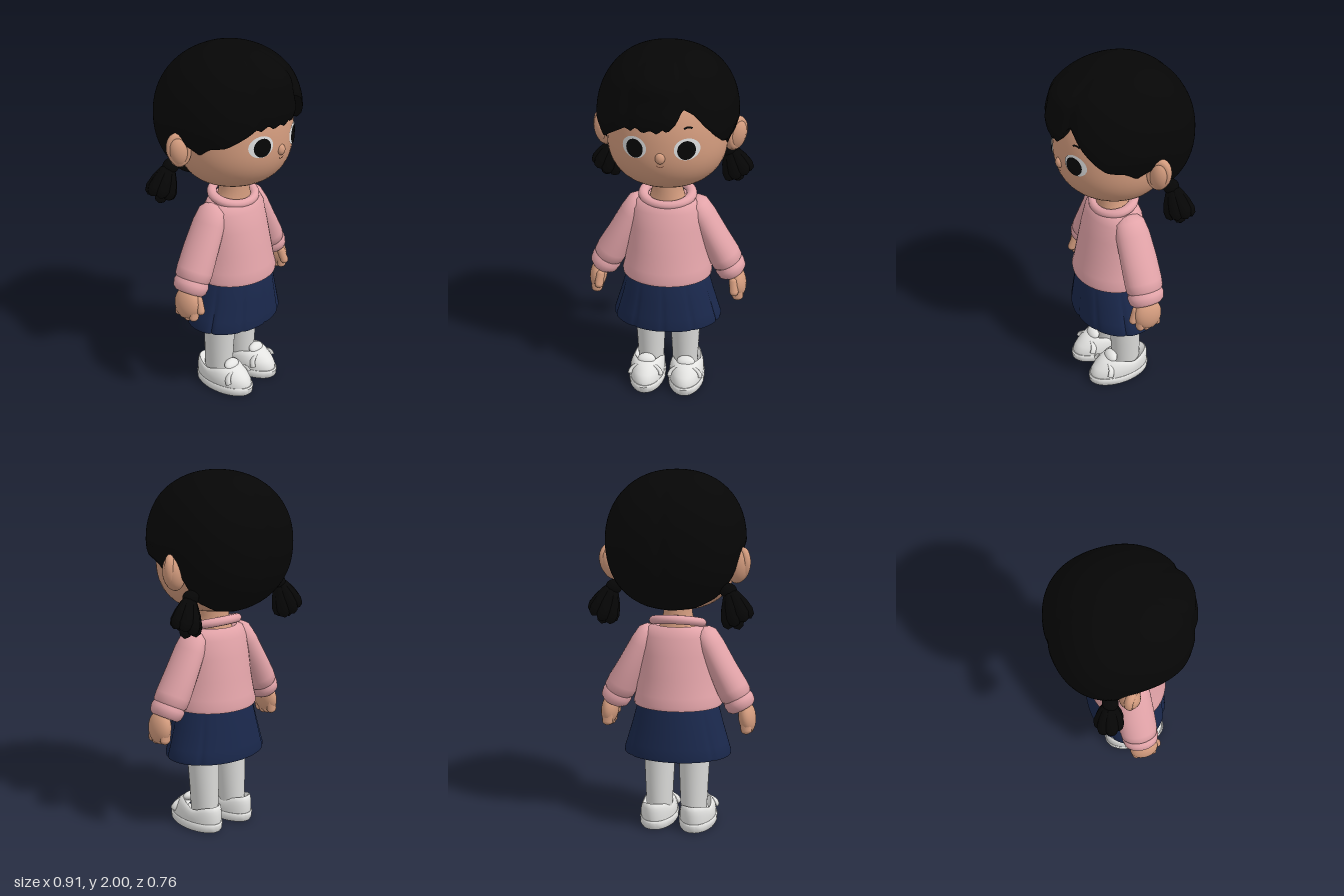
import * as THREE from 'three';
import { toCreasedNormals } from 'three/addons/utils/BufferGeometryUtils.js';

const mat = (name, color, side = THREE.FrontSide) => {
  const m = new THREE.MeshStandardMaterial({ color, side });
  m.name = name;
  return m;
};
const D = THREE.DoubleSide;
const SKIN = mat('skin', 0xd49c7e), HAIR = mat('black hair', 0x060606, D), PINK = mat('pink knit', 0xe3a4a9);
const NAVY = mat('navy cloth', 0x1a284c, D), SOCK = mat('sock white', 0xdadad8), SHOE = mat('shoe white', 0xe4e4e2);
const WHITE = mat('eye white', 0xe0e0e0, D), BLACK = mat('eye black', 0x060606, D), LINE = mat('brown line', 0x6b4030, D);

// Closed surface: u runs round the y axis from the front, v runs from top to bottom
function surface(fn, nu, nv) {
  const pos = [], idx = [];
  for (let j = 0; j <= nv; j++) for (let i = 0; i < nu; i++) pos.push(...fn(i / nu * Math.PI * 2, j / nv));
  for (let j = 0; j < nv; j++) for (let i = 0; i < nu; i++) {
    const k = (i + 1) % nu, a = j * nu + i, b = j * nu + k, c = a + nu, d = b + nu;
    idx.push(a, c, d, a, d, b);
  }
  const g = new THREE.BufferGeometry();
  g.setAttribute('position', new THREE.Float32BufferAttribute(pos, 3));
  g.setIndex(idx);
  g.computeVertexNormals();
  return g;
}

// Rings from top to bottom: [y, half width, front z, back z]
function loft(rings, nu = 28, shape = () => 1, crease = 0.8) {
  const g = surface((t, v) => {
    const [y, rx, zf, zb] = rings[Math.round(v * (rings.length - 1))];
    const k = shape(t, y);
    return [rx * k * Math.sin(t), y, (zf + zb) / 2 + (zf - zb) / 2 * k * Math.cos(t)];
  }, nu, rings.length - 1);
  return toCreasedNormals(g, crease);
}

function add(parent, name, geo, material, p = [0, 0, 0], s = [1, 1, 1], r = [0, 0, 0]) {
  const m = new THREE.Mesh(geo, material);
  m.name = name;
  m.position.set(...p);
  m.scale.set(...s);
  m.rotation.set(...r);
  parent.add(m);
  return m;
}

const ball = new THREE.SphereGeometry(1, 24, 16);
const clamp01 = x => Math.max(0, Math.min(1, x));

// Face surface, shared by the head and the plates laid on it
const headR = y => {
  const n = Math.min(1, Math.abs((y - 1.53) / (y > 1.53 ? 0.38 : 0.285)));
  return Math.pow(1 - Math.pow(n, 2.4), 1 / 2.4);
};
const faceZ = (x, y) => 0.02 + 0.32 * Math.sqrt(Math.max(0, headR(y) ** 2 - (x / 0.322) ** 2));

function facePlate(parent, name, geo, material, cx, cy, sx, sy, lift) {
  const p = geo.attributes.position;
  for (let i = 0; i < p.count; i++) {
    const x = cx + p.getX(i) * sx, y = cy + p.getY(i) * sy;
    p.setXYZ(i, x, y, faceZ(x, y) + lift);
  }
  geo.computeVertexNormals();
  add(parent, name, geo, material);
}

// Lower edge of the hair: [degrees from the front, y]
const EDGE = [[-180, 1.26], [-135, 1.28], [-116, 1.34], [-106, 1.48], [-90, 1.53], [-79, 1.49], [-68, 1.54], [-54, 1.56],
  [-40, 1.61], [-30, 1.645], [-25, 1.63], [-19, 1.66], [-14, 1.63], [-7, 1.65], [-2, 1.63], [3, 1.66], [6, 1.64], [12, 1.68],
  [19, 1.755], [27, 1.73], [36, 1.66], [46, 1.6], [54, 1.56], [68, 1.54], [79, 1.49], [90, 1.53], [106, 1.48], [116, 1.34],
  [135, 1.28], [180, 1.26]];
function edgeY(deg) {
  const i = Math.max(1, EDGE.findIndex(e => e[0] >= deg));
  const [a, ya] = EDGE[i - 1], [b, yb] = EDGE[i];
  return ya + (yb - ya) * (deg - a) / (b - a);
}
const dip = (d, at, w) => Math.exp(-(((d - at) / w) ** 2));

function hairPoint(t, v) {
  let d = t * 180 / Math.PI;
  if (d > 180) d -= 360;
  const inside = v > 0.93 ? (v - 0.93) / 0.07 : 0;
  const n = (edgeY(d) - 1.62) / 0.38;
  const end = Math.acos(Math.sign(n) * Math.abs(n) ** 1.1);
  const phi = Math.max(0.001, Math.min(1, v / 0.93) * end), c = Math.cos(phi);
  const y = 1.62 + 0.38 * Math.sign(c) * Math.abs(c) ** 0.91;
  let r = Math.sin(phi) ** 0.91;
  const back = Math.abs(d) > 90, fringe = dip(d, -5, 32);
  // slightly squared plan, then locks: middle lock, side parting and centre parting
  r *= 1 + r * (back ? 0.055 : 0.03) * Math.sin(2 * t) ** 2;
  r *= 1 + r * (0.03 * dip(d, 0, 16) - 0.05 * dip(d, 20, 5) - 0.03 * dip(d, -27, 5) - 0.02 * dip(Math.abs(d), 180, 5));
  // the fringe puffs out below the crown and curls in at its tips; the temples tuck in by the ears
  r *= 1 + fringe * (0.14 * dip(y, 1.88, 0.07) - 0.06 * clamp01((1.71 - y) / 0.08));
  r *= 1 - 0.09 * dip(Math.abs(d), 78, 22) * clamp01((1.62 - y) / 0.1);
  r *= 1 - 0.2 * inside;
  return [0.375 * r * Math.sin(t), y + 0.02 * inside, 0.375 * r * Math.cos(t) - (back ? 0.01 * r : 0)];
}

function buildHead() {
  const g = new THREE.Group();
  g.name = 'head';
  add(g, 'face', surface((t, v) => {
    const y = v < 0.5 ? 1.53 + 0.38 * Math.cos(v * Math.PI) : 1.53 + 0.285 * Math.cos(v * Math.PI);
    const r = headR(y);
    return [0.322 * r * Math.sin(t), y, 0.02 + (Math.cos(t) > 0 ? 0.32 : 0.28) * r * Math.cos(t)];
  }, 48, 32), SKIN);
  add(g, 'hair', surface(hairPoint, 144, 44), HAIR);
  add(g, 'nose', ball, SKIN, [0, 1.495, 0.335], [0.026, 0.03, 0.022]);
  facePlate(g, 'mouth', new THREE.RingGeometry(0.85, 1, 12, 1, Math.PI * 1.2, Math.PI * 0.6), LINE, 0, 1.47, 0.025, 0.025, 0.004);
  for (const s of [-1, 1]) {
    facePlate(g, 'eyeWhite', new THREE.RingGeometry(0.001, 1, 32, 5), WHITE, s * 0.134, 1.542, 0.064, 0.058, 0.004);
    facePlate(g, 'pupil', new THREE.RingGeometry(0.001, 1, 32, 5), BLACK, s * 0.132, 1.538, 0.045, 0.05, 0.008);
    facePlate(g, 'eyebrow', new THREE.RingGeometry(0.72, 1, 12, 1, Math.PI * 0.28, Math.PI * 0.44), BLACK, s * 0.138, 1.625, 0.036, 0.036, 0.005);
    add(g, 'ear', ball, SKIN, [s * 0.35, 1.5, -0.055], [0.06, 0.094, 0.055], [0, 0, -s * 0.2]);
    add(g, 'earRim', new THREE.TorusGeometry(0.053, 0.018, 10, 28), SKIN, [s * 0.36, 1.51, -0.045], [0.9, 1.3, 1.3], [0, s * 0.7, -s * 0.2]);
    buildPigtail(g, s);
  }
  return g;
}

function buildPigtail(parent, s) {
  const g = new THREE.Group();
  g.name = 'pigtail';
  const root = new THREE.Vector3(s * 0.31, 1.41, -0.145), down = new THREE.Vector3(0, -1, 0);
  add(g, 'hairTie', ball, HAIR, [s * 0.312, 1.38, -0.145], [0.045, 0.04, 0.042]);
  for (let i = 0; i < 8; i++) {
    const a = i / 7 * Math.PI * 2, k = i === 7 ? 0 : 1;
    const tip = new THREE.Vector3(s * (0.378 + k * 0.062 * Math.cos(a)), 1.18 + k * 0.032 * (1 + Math.cos(a)), -0.174 + k * 0.055 * Math.sin(a));
    const dir = tip.sub(root), L = dir.length();
    const lock = add(g, 'lock', loft([[0, 0.001], [-0.03, 0.017], [-0.3 * L, 0.028], [-0.55 * L, 0.037], [-0.8 * L, 0.038],
      [-0.94 * L, 0.026], [-L, 0.001]].map(([y, r]) => [y, r, r, -r]), 12, undefined, 1.2), HAIR, root.toArray());
    lock.quaternion.setFromUnitVectors(down, dir.normalize());
  }
  parent.add(g);
}

function buildArm(s) {
  const g = new THREE.Group();
  g.name = 'arm';
  g.position.set(s * 0.166, 1.1, 0.01);
  g.rotation.z = s * 0.475;
  add(g, 'sleeve', loft([[0.055, 0.001, 0.001, -0.001], [0.045, 0.037, 0.05, -0.05], [0.015, 0.062, 0.082, -0.08], [-0.06, 0.072, 0.096, -0.096],
    [-0.2, 0.078, 0.102, -0.106], [-0.32, 0.088, 0.105, -0.106], [-0.365, 0.087, 0.103, -0.102], [-0.385, 0.07, 0.085, -0.085],
    [-0.385, 0.001, 0.001, 0]]), PINK);
  add(g, 'cuff', loft([[-0.365, 0.06, 0.07, -0.07], [-0.372, 0.078, 0.098, -0.093], [-0.395, 0.086, 0.106, -0.1], [-0.43, 0.081, 0.1, -0.093],
    [-0.445, 0.066, 0.085, -0.077], [-0.43, 0.001, 0.001, 0]]), PINK);
  // mitten-like hand with curled fingers and a thumb
  const hand = new THREE.Group();
  hand.name = 'hand';
  hand.position.set(s * 0.396, 0.64, 0.024);
  hand.rotation.z = s * 0.12;
  add(hand, 'palm', ball, SKIN, [0, 0.012, 0], [0.048, 0.09, 0.08]);
  for (let i = 0; i < 4; i++)
    add(hand, 'finger', new THREE.CapsuleGeometry(0.023, 0.05, 4, 10), SKIN, [-s * 0.004, -0.037 + 0.006 * Math.abs(i - 1), 0.05 - i * 0.033], [1.35, 1, 1]);
  add(hand, 'thumb', new THREE.CapsuleGeometry(0.022, 0.06, 4, 10), SKIN, [-s * 0.018, 0.015, 0.072], [1.1, 1, 1], [-0.35, 0, 0]);
  const out = new THREE.Group();
  out.name = 'armAndHand';
  out.add(g, hand);
  return out;
}

function buildLeg(s) {
  const g = new THREE.Group();
  g.name = 'leg';
  g.position.x = s * 0.1;
  add(g, 'sock', loft([[0.56, 0.001, 0.01, 0], [0.56, 0.088, 0.11, -0.085], [0.4, 0.087, 0.103, -0.084], [0.25, 0.08, 0.09, -0.085],
    [0.1, 0.073, 0.083, -0.085]]), SOCK);
  const shoe = new THREE.Group();
  shoe.name = 'shoe';
  shoe.position.x = s * 0.014;
  add(shoe, 'sole', loft([[0.05, 0.001, 0.05, 0.04], [0.05, 0.1, 0.238, -0.13], [0.042, 0.106, 0.245, -0.136], [0.01, 0.104, 0.242, -0.132],
    [0, 0.098, 0.234, -0.125], [0, 0.001, 0.05, 0.04]], 32), SHOE);
  // the shoe opening dips at the ankle, between the heel and the tongue
  const upper = loft([[0.11, 0.062, 0.1, -0.07], [0.15, 0.08, 0.135, -0.115], [0.143, 0.087, 0.158, -0.122], [0.122, 0.093, 0.185, -0.128],
    [0.1, 0.098, 0.21, -0.13], [0.07, 0.1, 0.232, -0.13], [0.045, 0.099, 0.234, -0.128]], 32);
  const p = upper.attributes.position;
  for (let i = 0; i < p.count; i++)
    p.setY(i, p.getY(i) - 0.35 * Math.max(0, p.getY(i) - 0.07) * dip(p.getZ(i), -0.01, 0.06));
  upper.computeVertexNormals();
  add(shoe, 'upper', toCreasedNormals(upper, 0.8), SHOE);
  add(shoe, 'strap', new THREE.TorusGeometry(0.08, 0.011, 8, 24, Math.PI), SHOE, [0, 0.078, 0.155], [1.12, 0.78, 1.8], [-0.45, 0, 0]);
  add(shoe, 'tongue', ball, SHOE, [0, 0.15, 0.105], [0.052, 0.026, 0.035], [0.6, 0, 0]);
  g.add(shoe);
  return g;
}

export function createModel() {
  const model = new THREE.Group();
  model.name = 'girl';
  model.add(buildHead());
  add(model, 'neck', loft([[1.32, 0.085, 0.115, -0.055], [1.22, 0.08, 0.112, -0.052], [1.15, 0.1, 0.118, -0.06], [1.13, 0.12, 0.12, -0.07]]), SKIN);

  // sweater body, collar and hem
  add(model, 'sweater', loft([[1.14, 0.08, 0.09, -0.06], [1.16, 0.125, 0.125, -0.085], [1.145, 0.172, 0.145, -0.1], [1.1, 0.197, 0.168, -0.118],
    [1, 0.207, 0.197, -0.14], [0.88, 0.22, 0.224, -0.158], [0.78, 0.237, 0.243, -0.175], [0.73, 0.25, 0.255, -0.186],
    [0.712, 0.248, 0.253, -0.184], [0.708, 0.2, 0.2, -0.14]], 40), PINK);
  add(model, 'collar', new THREE.TorusGeometry(0.12, 0.026, 12, 36), PINK, [0, 1.172, 0.024], [1.1, 0.92, 0.95], [Math.PI / 2 + 0.27, 0, 0]);

  // pleated skirt with a turned hem and lining
  const pleat = (t, y) => {
    let d = t * 180 / Math.PI;
    if (d > 180) d -= 360;
    return 1 - 0.03 * [0, 33, 72, 130].reduce((a, p) => a + dip(Math.abs(d), p, 2.5), 0) * Math.min(1, (0.74 - y) * 6);
  };
  add(model, 'skirt', loft([[0.74, 0.215, 0.225, -0.165], [0.7, 0.23, 0.235, -0.172], [0.6, 0.257, 0.245, -0.186], [0.5, 0.287, 0.253, -0.199],
    [0.445, 0.304, 0.257, -0.206], [0.43, 0.302, 0.255, -0.204], [0.432, 0.285, 0.238, -0.188], [0.52, 0.265, 0.22, -0.17],
    [0.53, 0.001, 0.02, 0.01]], 120, pleat), NAVY);

  for (const s of [-1, 1]) model.add(buildArm(s), buildLeg(s));
  return model;
}
